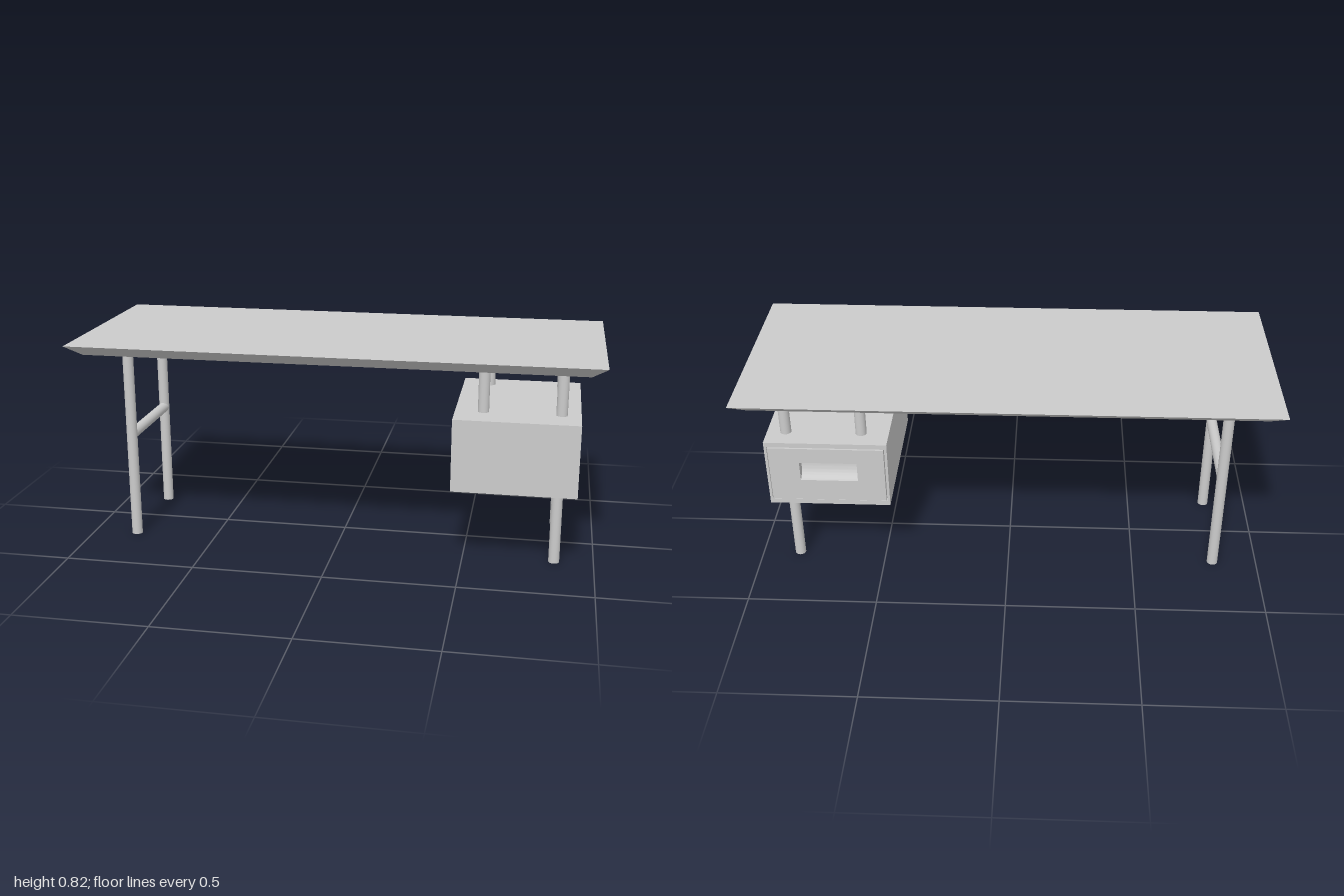
import * as THREE from 'three';
import { toCreasedNormals } from 'three/addons/utils/BufferGeometryUtils.js';

const grey = new THREE.MeshStandardMaterial({ color: 0xcccccc });
const LEG_R = 0.021, LEG_Z = 0.2, PLATE_Y = 0.764, TOP_Y = 0.775, TOP_H = 0.043;

function add(parent, name, geometry, x = 0, y = 0, z = 0) {
  const mesh = new THREE.Mesh(geometry, grey);
  mesh.name = name;
  mesh.position.set(x, y, z);
  parent.add(mesh);
  return mesh;
}

// Box given by its minimum and maximum corners
function block(parent, name, [x0, y0, z0], [x1, y1, z1]) {
  return add(parent, name, new THREE.BoxGeometry(x1 - x0, y1 - y0, z1 - z0),
    (x0 + x1) / 2, (y0 + y1) / 2, (z0 + z1) / 2);
}

// Upright round post
function post(parent, name, x, z, y0, y1) {
  return add(parent, name, new THREE.CylinderGeometry(LEG_R, LEG_R, y1 - y0, 28), x, (y0 + y1) / 2, z);
}

function rect(Type, x0, y0, x1, y1) {
  return new Type([[x0, y0], [x1, y0], [x1, y1], [x0, y1]].map(p => new THREE.Vector2(...p)));
}

// Rectangular panel with a rectangular opening, extruded along z
function framePanel(parent, name, outer, inner, z0, z1) {
  const shape = rect(THREE.Shape, ...outer);
  shape.holes.push(rect(THREE.Path, ...inner));
  const geo = new THREE.ExtrudeGeometry(shape, { depth: z1 - z0, bevelEnabled: false });
  return add(parent, name, geo, 0, 0, z0);
}

// Table top with a wide bevel running in towards the underside
function tableTop() {
  const geo = new THREE.BoxGeometry(2, TOP_H, 0.816);
  const p = geo.attributes.position;
  for (let i = 0; i < p.count; i++) {
    if (p.getY(i) > 0) continue;
    p.setX(i, p.getX(i) - Math.sign(p.getX(i)) * 0.055);
    p.setZ(i, p.getZ(i) - Math.sign(p.getZ(i)) * 0.055);
  }
  geo.computeVertexNormals();
  return geo;
}

export function createModel() {
  const desk = new THREE.Group();
  desk.name = 'desk';

  add(desk, 'tableTop', tableTop(), 0, TOP_Y + TOP_H / 2, 0);

  // Mounting plates under the top
  block(desk, 'rightMountingPlate', [-0.88, PLATE_Y, -0.222], [-0.77, TOP_Y, 0.222]);
  block(desk, 'leftMountingPlate', [0.54, PLATE_Y, -0.222], [0.872, TOP_Y, 0.222]);

  // Legs, and the short posts that carry the inner side of the cabinet
  for (const z of [LEG_Z, -LEG_Z]) {
    post(desk, 'rightLeg', -0.825, z, 0, PLATE_Y);
    post(desk, 'leftLeg', 0.85, z, 0, PLATE_Y);
    post(desk, 'cabinetPost', 0.561, z, 0.58, PLATE_Y);
  }

  // Cross rail between the two free-standing legs
  const rail = add(desk, 'crossRail', new THREE.CylinderGeometry(LEG_R, LEG_R, 2 * LEG_Z, 28), -0.825, 0.42, 0);
  rail.rotation.x = Math.PI / 2;

  // Hanging cabinet: solid body with a shallow frame around the drawer at the back
  const cabinet = new THREE.Group();
  cabinet.name = 'cabinet';
  desk.add(cabinet);
  const back = -0.281, floor = -0.245;
  block(cabinet, 'cabinetBody', [0.455, 0.307, floor], [0.922, 0.586, 0.328]);
  framePanel(cabinet, 'cabinetFrame', [0.455, 0.307, 0.922, 0.586], [0.465, 0.327, 0.912, 0.566], back, floor);

  // Drawer front, slightly proud, with an opening for the hand grip
  const face = -0.284;
  const grip = [0.573, 0.42, 0.793, 0.5];
  framePanel(cabinet, 'drawerFront', [0.468, 0.33, 0.909, 0.563], grip, face, floor);

  // Curved scoop at the bottom of the grip (profile in z and y, extruded along x)
  const depth = floor - face;
  const profile = new THREE.Shape();
  profile.moveTo(0, 0);
  profile.lineTo(depth, 0);
  profile.lineTo(depth, 0.055);
  profile.quadraticCurveTo(depth * 0.9, 0.004, 0, 0);
  const scoopGeo = toCreasedNormals(new THREE.ExtrudeGeometry(profile,
    { depth: grip[2] - grip[0], bevelEnabled: false, curveSegments: 12 }), 0.6);
  const scoop = add(cabinet, 'gripScoop', scoopGeo, grip[2], grip[1], face);
  scoop.rotation.y = -Math.PI / 2;

  return desk;
}
